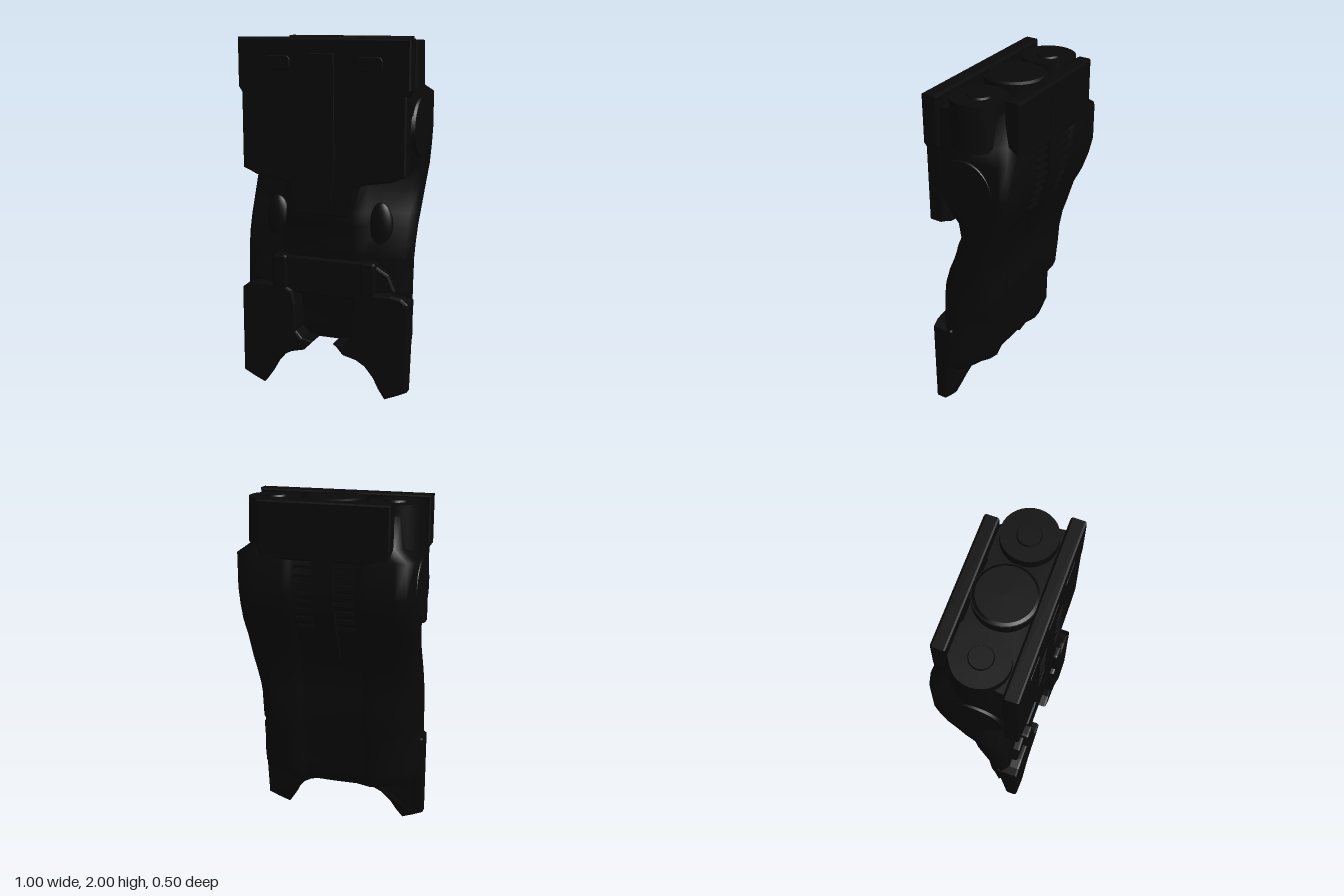
import * as THREE from 'three';

const black = new THREE.MeshStandardMaterial({ color: 0x090909 });
black.name = 'near black';

// Body rows: height, front centre z, front side z, half width, back half width, back z
const ROWS = [
  [0.28, 0.12, 0.15, 0.46, 0.32, 0.0], [0.31, 0.13, 0.17, 0.49, 0.35, -0.015],
  [0.38, 0.13, 0.18, 0.5, 0.37, -0.035], [0.6, 0.14, 0.19, 0.5, 0.37, -0.04],
  [0.64, 0.17, 0.19, 0.5, 0.42, -0.065], [0.8, 0.21, 0.18, 0.5, 0.43, -0.075],
  [0.88, 0.185, 0.17, 0.5, 0.45, -0.07], [0.98, 0.215, 0.14, 0.5, 0.47, -0.08],
  [1.05, 0.23, 0.11, 0.5, 0.48, -0.1], [1.2, 0.22, 0.06, 0.495, 0.495, -0.14],
  [1.3, 0.2, 0.08, 0.49, 0.5, -0.19], [1.4, 0.2, 0.17, 0.485, 0.5, -0.225],
  [1.5, 0.2, 0.19, 0.485, 0.5, -0.248], [1.7, 0.2, 0.19, 0.485, 0.5, -0.248],
  [1.76, 0.2, 0.2, 0.47, 0.42, -0.2], [1.93, 0.2, 0.2, 0.46, 0.4, -0.18],
];

// Loft of mirrored cross-sections, with two broad columns either side of a back channel
function bodyGeometry() {
  const pos = [], idx = [];
  const sections = ROWS.map(([y, fc, fs, w, wb, b]) => {
    const half = [[0, fc], [0.17, fc], [0.23, (fc + fs) / 2], [0.3, fs], [w - 0.04, fs], [w, fs - 0.04],
      [(2 * w + wb) / 3, (fs + b) / 2], [wb, b + 0.04], [wb - 0.04, b + 0.012], [wb - 0.1, b - 0.004],
      [0.23, b + 0.002], [0.19, b + 0.012], [0.17, b + 0.025], [0, b + 0.02]];
    const back = half.slice(1, -1).reverse().map(([x, z]) => [-x, z]);
    return half.concat(back).map(([x, z]) => [x, y, z]);
  });
  const n = sections[0].length;
  sections.forEach((s) => s.forEach((p) => pos.push(...p)));
  for (let i = 0; i < ROWS.length - 1; i++) {
    for (let j = 0; j < n; j++) {
      const a = i * n + j, b = i * n + (j + 1) % n;
      idx.push(a, b, b + n, a, b + n, a + n);
    }
  }
  // End caps
  [[sections[0], false], [sections[sections.length - 1], true]].forEach(([s, top]) => {
    const c = pos.length / 3;
    pos.push(0, s[0][1], 0.06);
    s.forEach((p) => pos.push(...p));
    for (let j = 0; j < n; j++) {
      const a = c + 1 + j, b = c + 1 + (j + 1) % n;
      if (top) idx.push(c, a, b); else idx.push(c, b, a);
    }
  });
  const g = new THREE.BufferGeometry();
  g.setAttribute('position', new THREE.Float32BufferAttribute(pos, 3));
  g.setIndex(idx);
  g.computeVertexNormals();
  return g;
}

const backZ = (y) => {
  const i = Math.max(1, ROWS.findIndex((r) => r[0] >= y));
  const p = ROWS[i - 1], q = ROWS[i];
  return p[5] + (q[5] - p[5]) * (y - p[0]) / (q[0] - p[0]);
};

const shapeOf = (pts) => new THREE.Shape(pts.map(([x, y]) => new THREE.Vector2(x, y)));
const mirrored = (pts) => pts.concat(pts.slice().reverse().map(([x, y]) => [-x, y]));

// Slab between two depths with a small bevel inside the outline
function slab(shape, z0, z1, bevel = 0.012) {
  const g = new THREE.ExtrudeGeometry(shape, {
    depth: z1 - z0 - 2 * bevel, bevelEnabled: true, bevelSize: bevel,
    bevelThickness: bevel, bevelOffset: -bevel, bevelSegments: 2, curveSegments: 10,
  });
  return g.translate(0, 0, z0 + bevel);
}

function roundedRect(w, h, r) {
  const s = new THREE.Shape();
  const x = w / 2, y = h / 2;
  s.absarc(x - r, y - r, r, 0, Math.PI / 2);
  s.absarc(-x + r, y - r, r, Math.PI / 2, Math.PI);
  s.absarc(-x + r, -y + r, r, Math.PI, Math.PI * 1.5);
  s.absarc(x - r, -y + r, r, Math.PI * 1.5, Math.PI * 2);
  return s;
}

// Foot plate outline on the left side
const FOOT = [[0.06, 0.29], [0.08, 0.275], [0.12, 0.23], [0.2, 0.21], [0.25, 0.18], [0.3, 0.12],
  [0.33, 0.06], [0.37, 0], [0.44, 0.03], [0.5, 0.06], [0.5, 0.57], [0.46, 0.6], [0.4, 0.61],
  [0.25, 0.61], [0.19, 0.58], [0.17, 0.5], [0.165, 0.34], [0.13, 0.3]];

// Foot plate, thinning towards its tip
function footGeometry(s) {
  const g = slab(shapeOf(FOOT.map(([x, y]) => [s * x, y])), 0.12, 0.25);
  const p = g.attributes.position;
  for (let i = 0; i < p.count; i++) {
    const thin = Math.max(0, 0.25 - p.getY(i)) / 0.25;
    if (p.getZ(i) < 0.19) p.setZ(i, p.getZ(i) + 0.08 * thin);
  }
  g.computeVertexNormals();
  return g;
}

export function createModel() {
  const model = new THREE.Group();
  model.name = 'device';
  const add = (name, geometry, x = 0, y = 0, z = 0) => {
    const m = new THREE.Mesh(geometry, black);
    m.name = name;
    m.position.set(x, y, z);
    model.add(m);
    return m;
  };
  const box = (name, w, h, d, x, y, z) => add(name, new THREE.BoxGeometry(w, h, d), x, y, z);

  add('body', bodyGeometry());

  // Front plate with a central tongue
  add('frontPlate', slab(shapeOf(mirrored([
    [0.16, 1.03], [0.18, 1.1], [0.2, 1.2], [0.26, 1.22], [0.4, 1.24], [0.44, 1.26], [0.48, 1.275],
    [0.48, 1.7], [0.5, 1.73], [0.5, 2],
  ])), 0.16, 0.246));
  add('frontStrip', slab(shapeOf(mirrored([[0.055, 1.1], [0.075, 1.35], [0.07, 1.92]])), 0.23, 0.25, 0.005));
  // Upper back slab
  add('backSlab', slab(shapeOf(mirrored([[0.36, 1.68], [0.373, 1.76], [0.373, 2]])), -0.248, -0.165));

  // Canisters seen at the top
  add('centreCanister', new THREE.CylinderGeometry(0.17, 0.17, 0.26, 40), 0, 1.86, 0);
  add('centreCap', new THREE.CylinderGeometry(0.15, 0.165, 0.01, 40), 0, 1.995, 0);

  // Back strip following the slope
  const ys = [1.1, 1.2, 1.3, 1.4, 1.5, 1.7];
  const profile = ys.map((y) => [backZ(y) - 0.002, y]).concat([[-0.25, 1.94], [-0.22, 1.94]],
    ys.slice().reverse().map((y) => [backZ(y) + 0.04, y]));
  const strip = new THREE.ExtrudeGeometry(shapeOf(profile), { depth: 0.12, bevelEnabled: false });
  add('backStrip', strip.rotateY(-Math.PI / 2).translate(0.06, 0, 0));

  for (const s of [1, -1]) {
    add('sideCanister', new THREE.CylinderGeometry(0.15, 0.155, 0.25, 32), s * 0.345, 1.86, 0);
    add('canisterCap', new THREE.CylinderGeometry(0.06, 0.065, 0.01, 24), s * 0.34, 1.99, 0);
    const disc = add('sideDisc', new THREE.CylinderGeometry(0.16, 0.17, 0.02, 40), s * 0.49, 1.52, 0);
    disc.rotation.z = -s * Math.PI / 2;

    // Front slots and ribs
    add('frontSlot', slab(roundedRect(0.16, 0.08, 0.03), 0.235, 0.25, 0.005), s * 0.265, 1.865, 0);
    for (const y of [1.35, 1.42, 1.52, 1.6, 1.64, 1.68]) {
      box('frontRib', 0.1, 0.018, 0.01, s * 0.125, y, 0.244);
    }
    for (let i = 0; i < 8; i++) {
      const y = 1.3 + i * 0.05;
      box('backRib', 0.1, 0.018, 0.03, s * 0.115, y, backZ(y) + 0.02);
    }

    // Thigh pod, knee block and foot plate
    const pod = add('thighPod', new THREE.SphereGeometry(1, 24, 16), s * 0.31, 0.97, 0.14);
    pod.scale.set(0.07, 0.14, 0.04);
    add('kneeBlock', slab(roundedRect(0.09, 0.22, 0.02), 0.14, 0.25), s * 0.265, 0.675, 0);
    add('footPlate', footGeometry(s));
  }

  // Bridge between the knees
  add('kneeBridge', slab(shapeOf(mirrored([[0.17, 0.56], [0.24, 0.6], [0.42, 0.63], [0.38, 0.72], [0.28, 0.78]])),
    0.12, 0.225));
  return model;
}
